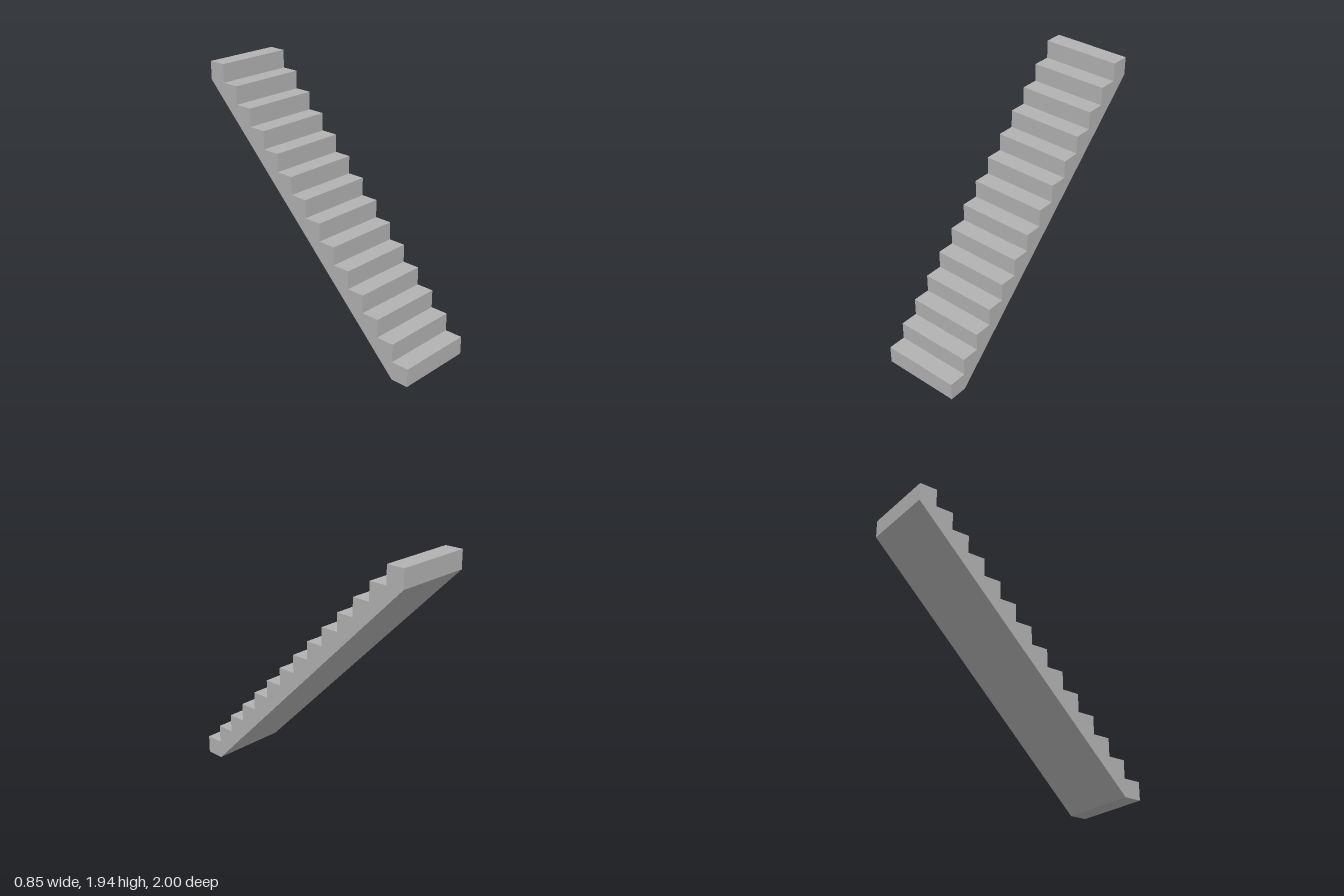
import * as THREE from 'three';

const STEPS = 14;
const RISE = 0.1386;   // height of one step
const RUN = 0.1385;    // depth of one step
const WIDTH = 0.605;
const TURN = -0.127;   // the flight is turned slightly about the vertical

export function createModel() {
  const group = new THREE.Group();
  group.name = 'staircase';

  const concrete = new THREE.MeshStandardMaterial({ color: 0xb2b2b2 });
  concrete.name = 'concrete grey';

  // Side profile: x runs towards the back, y up
  const profile = new THREE.Shape();
  profile.moveTo(0, 0);
  profile.lineTo(RUN, 0);                              // flat foot
  profile.lineTo(STEPS * RUN, (STEPS - 1) * RISE);     // sloping underside
  for (let i = STEPS; i > 0; i--) {
    profile.lineTo(i * RUN, i * RISE);                 // tread, back edge
    profile.lineTo((i - 1) * RUN, i * RISE);           // tread, front edge
  }
  profile.closePath();

  // Sweep the profile across the width, then point its back to -z
  const geometry = new THREE.ExtrudeGeometry(profile, { depth: WIDTH, bevelEnabled: false });
  geometry.translate(-STEPS * RUN / 2, 0, -WIDTH / 2);
  geometry.rotateY(Math.PI / 2);

  const flight = new THREE.Mesh(geometry, concrete);
  flight.name = 'stairFlight';
  flight.rotation.y = TURN;
  group.add(flight);
  return group;
}
